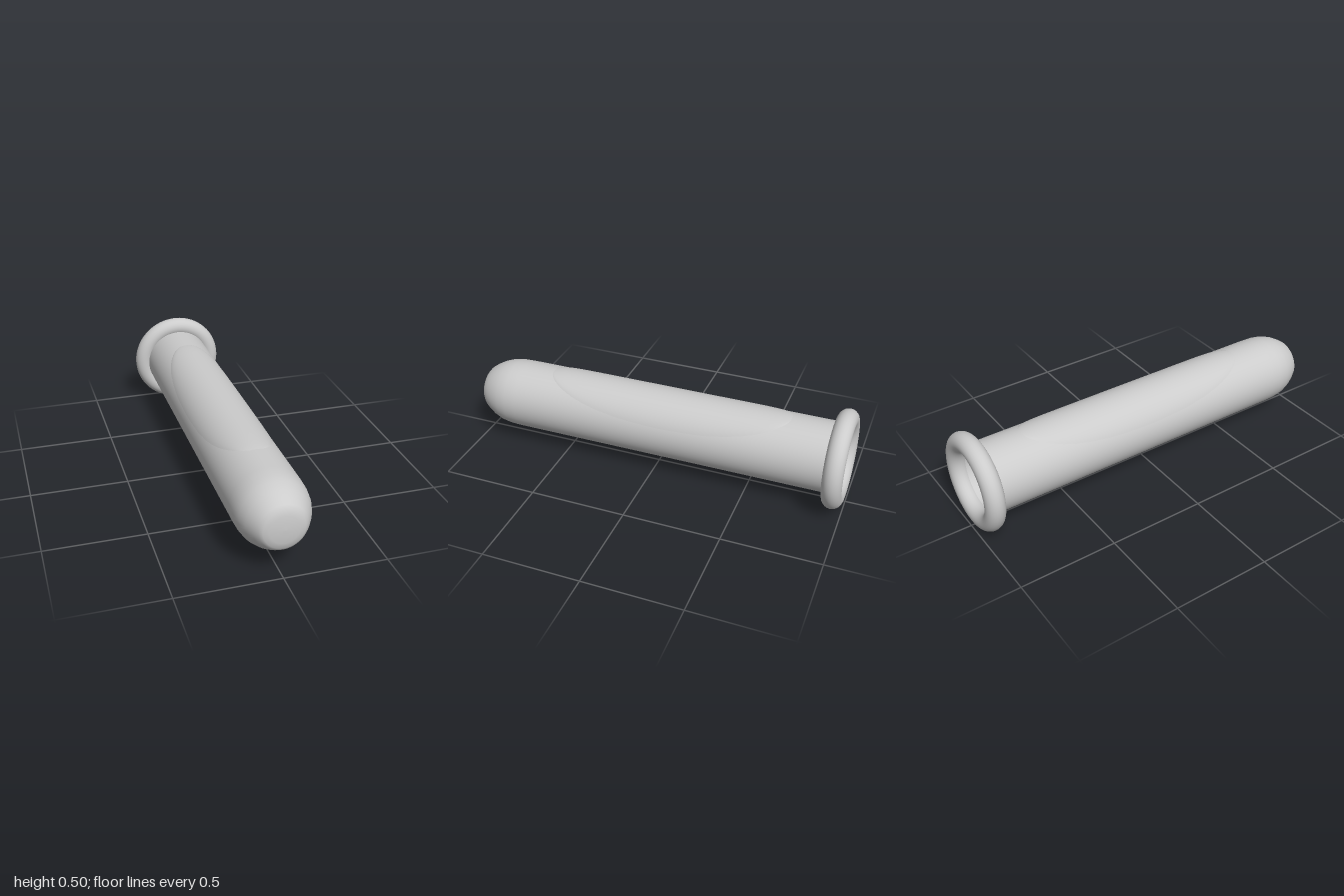
import * as THREE from 'three';

const AXIS_Y = 0.252;
const RADIUS = 0.18;

function makeMesh(name, geometry, material) {
  const mesh = new THREE.Mesh(geometry, material);
  mesh.name = name;
  return mesh;
}

// Lathe along z from [radius, z] pairs
function latheZ(pairs) {
  const points = pairs.map(([r, z]) => new THREE.Vector2(r, z));
  return new THREE.LatheGeometry(points, 64).rotateX(Math.PI / 2);
}

// Thin raised oval skin wrapped over the top of the tube
function labelGeometry() {
  const nz = 48, na = 24, zMid = -0.05, halfLength = 0.65, maxAngle = 1.28;
  const positions = [], index = [];
  for (let i = 0; i <= nz; i++) {
    const t = -Math.cos((Math.PI * i) / nz);
    const spread = maxAngle * Math.sqrt(Math.max(0, 1 - t * t));
    for (let j = 0; j <= na; j++) {
      const s = (2 * j) / na - 1;
      const a = s * spread;
      const r = RADIUS - 0.001 + 0.007 * Math.cos(a) * (1 - s ** 8) * (1 - t ** 12);
      positions.push(r * Math.sin(a), r * Math.cos(a), zMid + halfLength * t);
      if (i < nz && j < na) {
        const p = i * (na + 1) + j, q = p + na + 1;
        index.push(p, q, p + 1, p + 1, q, q + 1);
      }
    }
  }
  const geometry = new THREE.BufferGeometry();
  geometry.setAttribute('position', new THREE.Float32BufferAttribute(positions, 3));
  geometry.setIndex(index);
  geometry.computeVertexNormals();
  return geometry;
}

export function createModel() {
  const group = new THREE.Group();
  group.name = 'testTube';
  const body = new THREE.Group();
  body.name = 'tubeBody';
  body.position.y = AXIS_Y;
  group.add(body);

  const material = new THREE.MeshStandardMaterial({ color: 0xcccccc, side: THREE.DoubleSide });

  // Outer wall with its rounded, slightly blunt closed end
  body.add(makeMesh('outerWall', latheZ([
    [RADIUS, -0.95], [RADIUS, -0.4], [RADIUS, 0.2], [RADIUS, 0.76], [0.178, 0.82], [0.17, 0.87],
    [0.153, 0.915], [0.133, 0.95], [0.115, 0.975], [0.098, 0.989], [0.07, 0.995], [0.035, 0.999], [0, 1],
  ]), material));

  // Hollow inside
  body.add(makeMesh('innerWall', latheZ([
    [0, 0.97], [0.06, 0.966], [0.095, 0.95], [0.125, 0.91], [0.148, 0.86], [0.157, 0.78], [0.157, -0.95],
  ]), material));

  // Rolled rim around the open mouth
  const rim = makeMesh('rim', new THREE.TorusGeometry(0.201, 0.05, 24, 64), material);
  rim.position.z = -0.95;
  body.add(rim);

  body.add(makeMesh('raisedLabel', labelGeometry(), material));
  return group;
}
